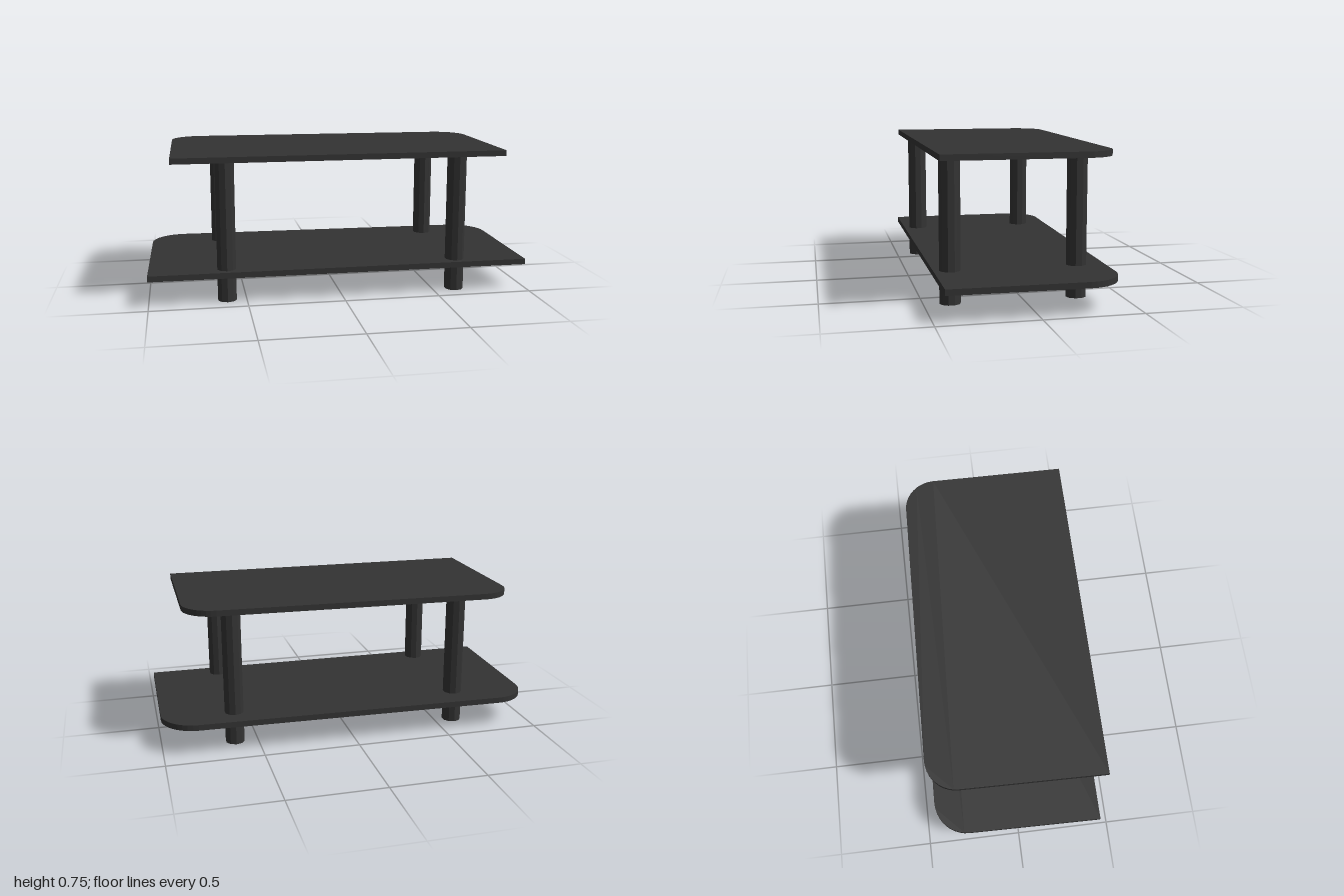
import * as THREE from 'three';

const material = new THREE.MeshStandardMaterial({ color: 0x333333, flatShading: true });
const THICKNESS = 0.03;

// Board with a straight front edge, rounded back corners and a slightly skewed back edge.
// Each corner is [x, z]; the radius is measured along the edges.
function makeBoard(name, y, frontX, back, radius) {
  const point = (x, z) => new THREE.Vector2(x, -z);
  const fl = point(frontX[0], 0.45), fr = point(frontX[1], 0.45);
  const bl = point(...back[0]), br = point(...back[1]);
  const toward = (from, to, d) => to.clone().sub(from).setLength(d).add(from);

  const shape = new THREE.Shape();
  shape.moveTo(fl.x, fl.y);
  shape.lineTo(fr.x, fr.y);
  for (const [corner, before, after] of [[br, fr, bl], [bl, br, fl]]) {
    const a = toward(corner, before, radius), b = toward(corner, after, radius);
    const c1 = a.clone().lerp(corner, 0.55), c2 = b.clone().lerp(corner, 0.55);
    shape.lineTo(a.x, a.y);
    shape.bezierCurveTo(c1.x, c1.y, c2.x, c2.y, b.x, b.y);
  }
  shape.closePath();

  const geometry = new THREE.ExtrudeGeometry(shape, { depth: THICKNESS, bevelEnabled: false, curveSegments: 10 });
  geometry.rotateX(-Math.PI / 2);
  const mesh = new THREE.Mesh(geometry, material);
  mesh.name = name;
  mesh.position.y = y;
  return mesh;
}

export function createModel() {
  const group = new THREE.Group();
  group.name = 'twoTierTable';

  group.add(
    makeBoard('tableTop', 0.725, [-0.87, 0.86], [[-0.855, -0.452], [0.866, -0.415]], 0.16),
    makeBoard('lowerShelf', 0.135, [-1, 0.99], [[-0.985, -0.452], [0.998, -0.412]], 0.18)
  );

  // Four slim faceted legs running through the shelf
  const legHeight = 0.726;
  const legGeometry = new THREE.CylinderGeometry(0.05, 0.05, legHeight, 10);
  legGeometry.scale(1, 1, 1.07);
  for (const [side, x] of [['Right', -0.6], ['Left', 0.62]]) {
    for (const [end, z] of [['front', 0.367], ['back', -0.276]]) {
      const leg = new THREE.Mesh(legGeometry, material);
      leg.name = `${end}${side}Leg`;
      leg.position.set(x, legHeight / 2, z);
      group.add(leg);
    }
  }
  return group;
}
